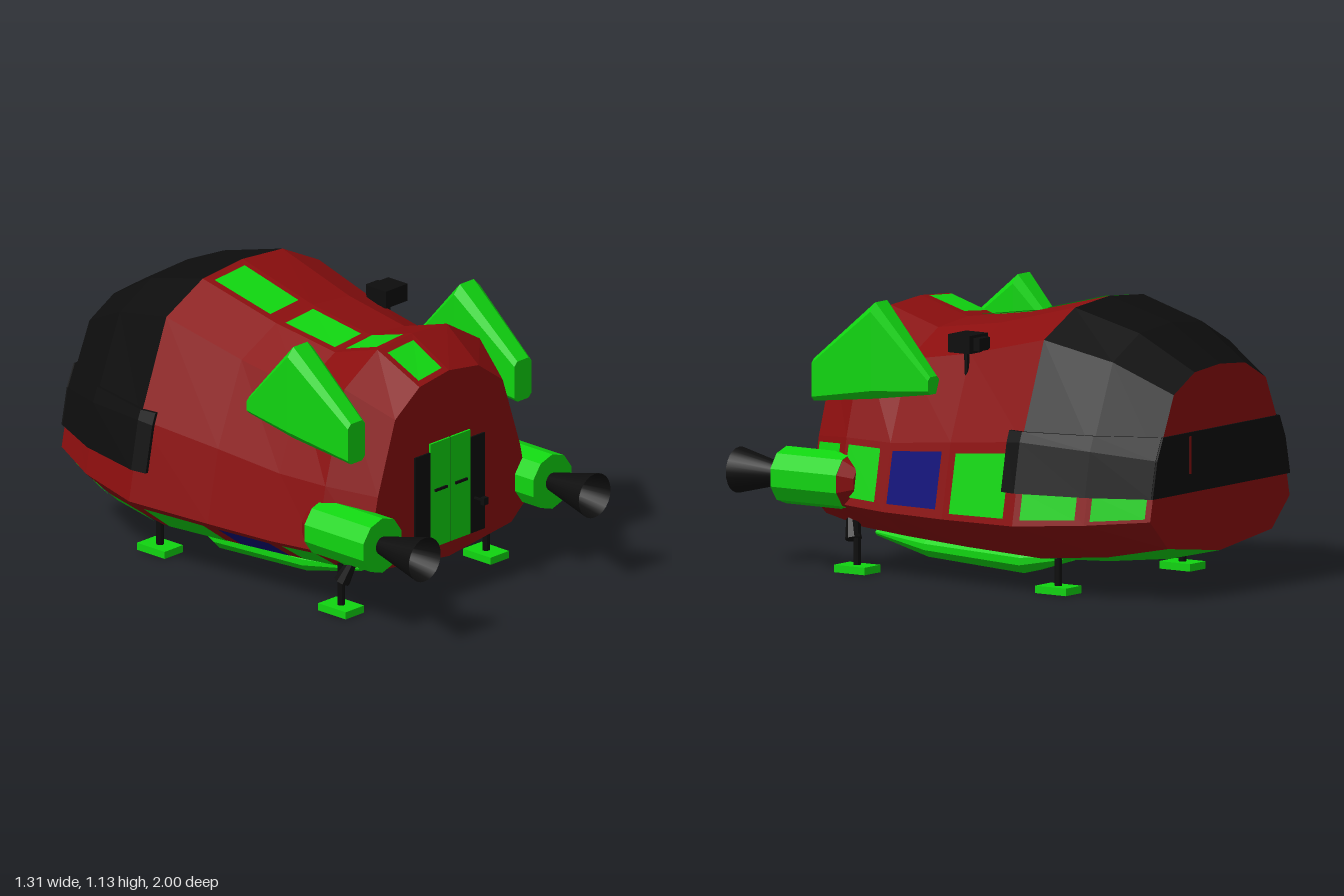
import * as THREE from 'three';

const mat = (color, flat = true) => new THREE.MeshStandardMaterial({ color, flatShading: flat, side: THREE.DoubleSide });
const RED = mat(0x8a0e0e), GREEN = mat(0x10d510), BLACK = mat(0x0d0d0d), BLUE = mat(0x0b0b78);
const SMOOTH_BLACK = mat(0x0d0d0d, false);

// Hull stations: z, then roof centre, shoulder, upper side, waist, widest line, chine, keel
const STATIONS = [
  [0.67, [[0, 0.955], [0.17, 0.93], [0.31, 0.83], [0.41, 0.53], [0.46, 0.3], [0.36, 0.215], [0, 0.17]]],
  [0.47, [[0, 1.06], [0.2, 1.045], [0.39, 0.93], [0.5, 0.55], [0.55, 0.29], [0.39, 0.18], [0, 0.13]]],
  [0.24, [[0, 0.995], [0.2, 0.975], [0.4, 0.87], [0.52, 0.55], [0.575, 0.28], [0.41, 0.165], [0, 0.1]]],
  [-0.07, [[0, 1.04], [0.21, 1.02], [0.41, 0.92], [0.545, 0.58], [0.605, 0.28], [0.43, 0.15], [0, 0.085]]],
  [-0.45, [[0, 1.135], [0.23, 1.115], [0.44, 1.01], [0.59, 0.62], [0.655, 0.29], [0.46, 0.14], [0, 0.075]]],
  [-0.75, [[0, 1.055], [0.21, 1.035], [0.39, 0.94], [0.53, 0.6], [0.585, 0.31], [0.42, 0.165], [0, 0.11]]],
  [-0.99, [[0, 0.91], [0.17, 0.895], [0.31, 0.82], [0.42, 0.57], [0.47, 0.33], [0.35, 0.21], [0, 0.165]]],
];
const ringAt = (z, pts) => pts.map(([x, y]) => new THREE.Vector3(x, y, z));
const HULL = STATIONS.map(([z, h]) => ringAt(z, [...h, ...h.slice(1, 6).reverse().map(([x, y]) => [-x, y])]));

function trisToMesh(name, tris, material) {
  const g = new THREE.BufferGeometry().setFromPoints(tris);
  g.computeVertexNormals();
  const m = new THREE.Mesh(g, material);
  m.name = name;
  return m;
}

const quad = (a, b, c, d) => [a, b, c, a, c, d];

// Rings run clockwise seen from the front, ordered front to back
function loftTris(rings, strips, caps) {
  const out = [], n = rings[0].length;
  for (let i = 0; i < rings.length - 1; i++)
    for (const j of strips ?? rings[0].keys()) {
      const k = (j + 1) % n;
      out.push(...quad(rings[i][j], rings[i][k], rings[i + 1][k], rings[i + 1][j]));
    }
  if (caps) {
    const f = rings[0], b = rings[rings.length - 1];
    for (let j = 1; j < n - 1; j++) out.push(f[0], f[j + 1], f[j], b[0], b[j], b[j + 1]);
  }
  return out;
}

const loft = (name, rings, material) => trisToMesh(name, loftTris(rings, null, true), material);

// Point on hull ring line j at depth z
function hullPoint(z, j) {
  let i = 0;
  while (i < HULL.length - 2 && z < HULL[i + 1][0].z) i++;
  const a = HULL[i][j % 12], b = HULL[i + 1][j % 12];
  return a.clone().lerp(b, (a.z - z) / (a.z - b.z));
}

// Window lying on hull strip j, between depths z0 > z1 and fractions u0 < u1
function hullWindow(name, j, z0, z1, u0, u1, material) {
  const at = (z, u) => hullPoint(z, j).lerp(hullPoint(z, j + 1), u);
  const p = [at(z0, u0), at(z0, u1), at(z1, u1), at(z1, u0)];
  const n = p[2].clone().sub(p[0]).cross(p[3].clone().sub(p[1])).normalize().multiplyScalar(0.006);
  p.forEach(v => v.add(n));
  return trisToMesh(name, quad(...p), material);
}

// Half-width of the hull at depth z and height y
function hullX(z, y) {
  const b = hullPoint(z, 2), c = hullPoint(z, 3), d = hullPoint(z, 4);
  const [p, q] = y > c.y ? [b, c] : [c, d];
  return p.x + (q.x - p.x) * (p.y - y) / (p.y - q.y);
}

// Bevelled rectangular ring
function bevelRing(z, w, y0, y1, c) {
  const r = [[w - c, y1], [w, y1 - c], [w, y0 + c], [w - c, y0]];
  return ringAt(z, [...r, ...r.slice().reverse().map(([x, y]) => [-x, y])]);
}

function part(name, geometry, material, x = 0, y = 0, z = 0) {
  const m = new THREE.Mesh(geometry, material);
  m.name = name;
  m.position.set(x, y, z);
  return m;
}
const box = (name, w, h, d, material, x, y, z) => part(name, new THREE.BoxGeometry(w, h, d), material, x, y, z);
const zTube = (rFront, rBack, len, sides, open = false) =>
  new THREE.CylinderGeometry(rFront, rBack, len, sides, 1, open).rotateX(Math.PI / 2);

function engine(side) {
  const g = new THREE.Group();
  g.name = 'engine';
  g.position.set(0.49 * side, 0.375, 0);
  g.add(
    part('engineBody', zTube(0.115, 0.115, 0.32, 10), GREEN, 0, 0, 0.61),
    part('engineMount', zTube(0.113, 0.07, 0.055, 10), RED, 0, 0, 0.423),
    part('nozzle', zTube(0.092, 0.037, 0.23, 24, true), SMOOTH_BLACK, 0, 0, 0.885),
    part('throat', zTube(0.031, 0.031, 0.01, 24), BLACK, 0, 0, 0.773));
  return g;
}

function leg(side, z, front) {
  const g = new THREE.Group();
  g.name = 'landingLeg';
  g.position.set(0.418 * side, 0, z);
  g.add(
    box('foot', 0.106, 0.03, 0.15, GREEN, 0, 0.016, 0),
    part('strut', new THREE.CylinderGeometry(0.015, 0.015, 0.18, 10), BLACK, 0, 0.12, 0));
  if (front) {
    const b = part('legBracket', new THREE.CylinderGeometry(0.022, 0.034, 0.085, 8), BLACK, -0.005 * side, 0.172, 0.025);
    b.rotation.set(0.35, 0, 0.3 * side);
    g.add(b);
  }
  return g;
}

export function createModel() {
  const model = new THREE.Group();
  const upper = [0, 1, 2, 9, 10, 11], sides = [3, 4, 7, 8], belly = [5, 6];

  // Hull shell
  model.add(
    trisToMesh('cabinShell', loftTris(HULL.slice(0, 5), upper), RED),
    trisToMesh('cockpitCanopy', loftTris(HULL.slice(4), upper), BLACK),
    trisToMesh('hullSides', loftTris(HULL, sides), RED),
    trisToMesh('belly', loftTris(HULL, belly), GREEN),
    trisToMesh('endWalls', loftTris([HULL[0], HULL[6]], [], true), RED));

  // Wraparound windscreen band
  const heights = z => [0.66, hullPoint(z, 3).y, 0.42];
  for (const s of [1, -1]) {
    const rings = [-0.38, -0.45, -0.75, -0.99].map(z => {
      const [t, m, b] = heights(z);
      const pts = [[t, 0.014], [m, 0.014], [b, 0.014], [b, -0.03], [t, -0.03]]
        .map(([y, o]) => [s * (hullX(z, y) + o), y]);
      return ringAt(z, s > 0 ? pts : pts.reverse());
    });
    model.add(loft('sideWindscreen', rings, BLACK));
  }
  const half = heights(-0.99).map(y => [hullX(-0.99, y) + 0.012, y]);
  const screen = [...half, ...half.slice().reverse().map(([x, y]) => [-x, y])];
  model.add(loft('windscreen', [ringAt(-0.98, screen), ringAt(-0.998, screen)], BLACK));
  model.add(box('wiper', 0.012, 0.15, 0.006, RED, 0.21, 0.57, -0.997));

  // Roof windows, one side of the ridge only
  for (const [a, b] of [[0.65, 0.5], [0.45, 0.28], [0.22, -0.04], [-0.12, -0.41]])
    model.add(hullWindow('roofWindow', 11, a, b, 0.1, 0.86, GREEN));

  // Side windows: above the widest line on the left, below it on the right
  const panes = [[0.65, 0.5, 0.1, 0.88], [0.45, 0.285, 0.1, 0.88], [0.22, -0.035, 0.12, 0.88, BLUE],
    [-0.11, -0.4, 0.14, 0.92], [-0.48, -0.71, 0.6, 0.93], [-0.77, -0.97, 0.6, 0.95]];
  for (const [a, b, u0, u1, m = GREEN] of panes)
    model.add(hullWindow('sideWindow', 3, a, b, u0, u1, m), hullWindow('lowerWindow', 7, a, b, 1 - u1, 1 - u0, m));

  // Double door with side panels and handles
  for (const s of [1, -1])
    model.add(
      box('doorLeaf', 0.114, 0.44, 0.014, GREEN, 0.059 * s, 0.455, 0.672),
      box('doorPanel', 0.085, 0.405, 0.014, BLACK, 0.158 * s, 0.437, 0.671),
      box('doorHandle', 0.068, 0.01, 0.01, BLACK, 0.058 * s, 0.475, 0.682));
  model.add(box('doorGap', 0.005, 0.44, 0.012, BLACK, 0, 0.455, 0.671));
  model.add(box('doorKnob', 0.025, 0.03, 0.02, BLACK, 0.14, 0.38, 0.73));
  model.add(box('knobStem', 0.008, 0.008, 0.06, BLACK, 0.14, 0.38, 0.7));

  // Mirrored equipment
  for (const s of [1, -1]) {
    const fin = loft('fin', [
      bevelRing(0.62, 0.05, 0.685, 0.855, 0.018),
      bevelRing(0.315, 0.074, 0.72, 1.105, 0.034),
      bevelRing(0.06, 0.038, 0.755, 0.825, 0.015)], GREEN);
    fin.position.x = 0.48 * s;
    const skid = loft('skid', [
      bevelRing(0.47, 0.035, 0.135, 0.16, 0.01),
      bevelRing(0.2, 0.08, 0.075, 0.16, 0.03),
      bevelRing(-0.27, 0.09, 0.05, 0.15, 0.035),
      bevelRing(-0.47, 0.02, 0.11, 0.14, 0.01)], GREEN);
    skid.position.x = 0.27 * s;
    model.add(fin, skid, engine(s), leg(s, 0.478, true), leg(s, -0.505, false));
  }

  // Roof sensor
  const sensor = new THREE.Group();
  sensor.name = 'roofSensor';
  sensor.position.set(0.435, 0, -0.07);
  sensor.add(
    box('sensorHead', 0.125, 0.072, 0.105, BLACK, 0, 0.968, -0.005),
    box('sensorBack', 0.07, 0.05, 0.035, BLACK, 0, 0.968, -0.07),
    part('sensorPost', new THREE.CylinderGeometry(0.012, 0.008, 0.12, 8), BLACK, 0, 0.89, 0));
  model.add(sensor);
  return model;
}
